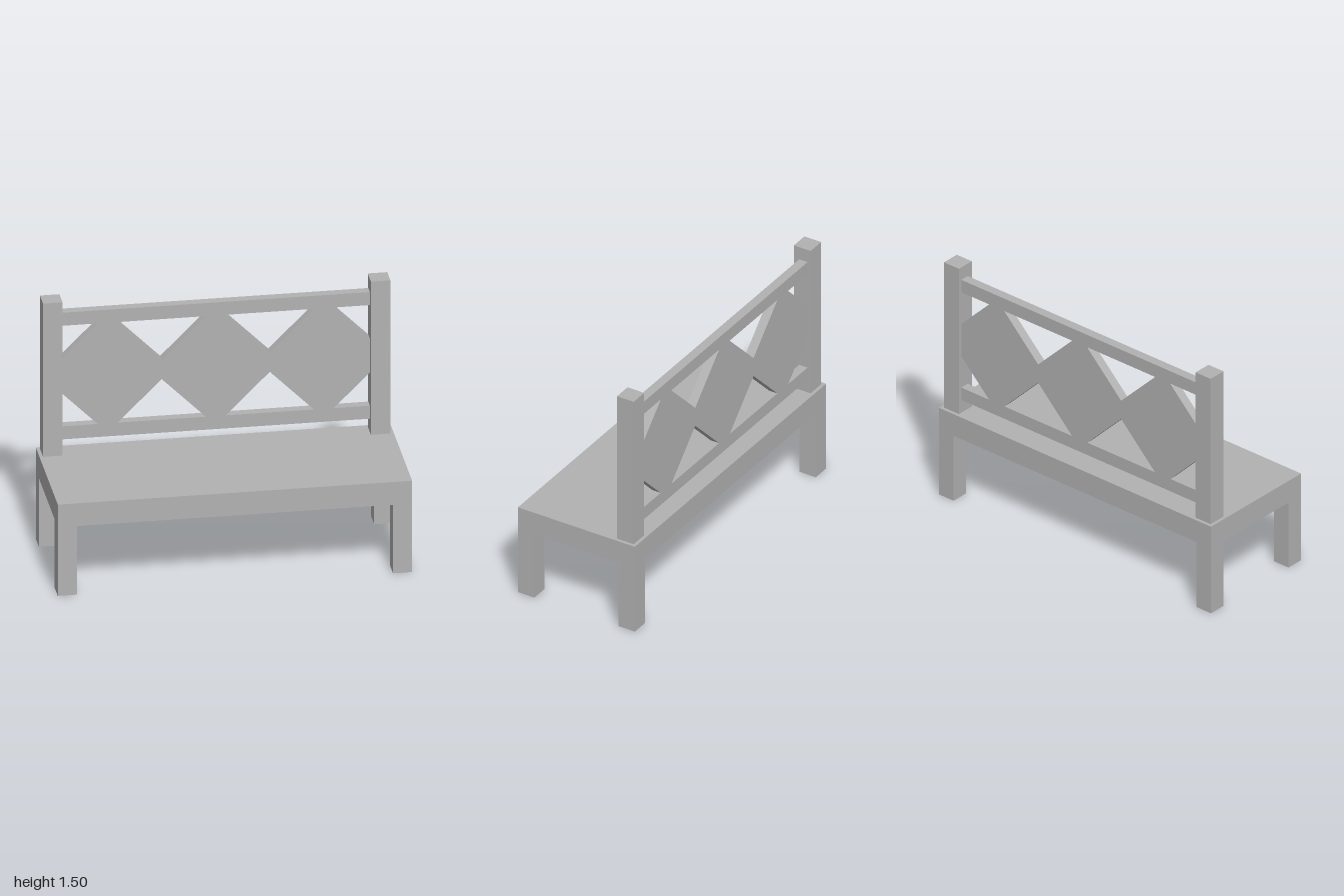
import * as THREE from 'three';

const W = 1, D = 0.385;            // seat half width and half depth
const SEAT = 0.56, APRON = 0.42;   // seat top and apron underside
const LEG = 0.108;                 // leg thickness
const BACK_Z = -0.3175, BACK_T = 0.055;

function polygon(points) {
  return new THREE.Shape(points.map(([x, y]) => new THREE.Vector2(x, y)));
}

// Arch-shaped wall: apron with a leg at each end
function archWall(half) {
  const i = half - LEG;
  return new THREE.ShapeGeometry(polygon([
    [-half, 0], [-i, 0], [-i, APRON], [i, APRON], [i, 0], [half, 0], [half, SEAT], [-half, SEAT],
  ]));
}

export function createModel() {
  const model = new THREE.Group();
  model.name = 'bench';
  const grey = new THREE.MeshStandardMaterial({ color: 0xb2b2b2, side: THREE.DoubleSide });
  grey.name = 'grey';

  const add = (name, geometry, x, y, z, ry = 0, parent = model) => {
    const mesh = new THREE.Mesh(geometry, grey);
    mesh.name = name;
    mesh.position.set(x, y, z);
    mesh.rotation.y = ry;
    parent.add(mesh);
    return mesh;
  };

  // Hollow base, open underneath
  const base = new THREE.Group();
  base.name = 'base';
  model.add(base);
  add('frontWall', archWall(W), 0, 0, D, 0, base);
  add('backWall', archWall(W), 0, 0, -D, Math.PI, base);
  add('leftWall', archWall(D), W, 0, 0, Math.PI / 2, base);
  add('rightWall', archWall(D), -W, 0, 0, -Math.PI / 2, base);
  add('seat', new THREE.PlaneGeometry(2 * W, 2 * D).rotateX(-Math.PI / 2), 0, SEAT, 0, 0, base);

  // Inner faces of the four legs
  const legFace = new THREE.PlaneGeometry(LEG, APRON);
  for (const sx of [-1, 1]) {
    for (const sz of [-1, 1]) {
      add('legInnerSide', legFace, sx * (W - LEG), APRON / 2, sz * (D - LEG / 2), -sx * Math.PI / 2, base);
      add('legInnerEnd', legFace, sx * (W - LEG / 2), APRON / 2, sz * (D - LEG), sz > 0 ? Math.PI : 0, base);
    }
    // Backrest post
    add(sx > 0 ? 'leftPost' : 'rightPost', new THREE.BoxGeometry(0.11, 1.5 - SEAT, 0.11),
      sx * 0.925, (1.5 + SEAT) / 2, -0.31);
  }

  // Backrest rails
  const rail = new THREE.BoxGeometry(1.74, 0.08, BACK_T);
  add('topRail', rail, 0, 1.38, BACK_Z);
  add('bottomRail', rail, 0, 0.683, BACK_Z);

  // Row of joined diamonds: upper edge left to right, then mirrored below
  const mid = 1.031, half = 0.309, pitch = 0.61, flat = 0.055;
  const upper = [[-0.87, 0.104]];
  for (const c of [-pitch, 0, pitch]) {
    upper.push([c - flat, half], [c + flat, half]);
    if (c < pitch) upper.push([c + pitch / 2, half - (pitch / 2 - flat)]);
  }
  upper.push([0.87, 0.104]);
  const lower = upper.map(([x, y]) => [x, -y]).reverse();
  const panel = new THREE.ExtrudeGeometry(polygon([...lower, ...upper]), { depth: BACK_T, bevelEnabled: false });
  add('diamondPanel', panel, 0, mid, BACK_Z - BACK_T / 2);

  return model;
}
